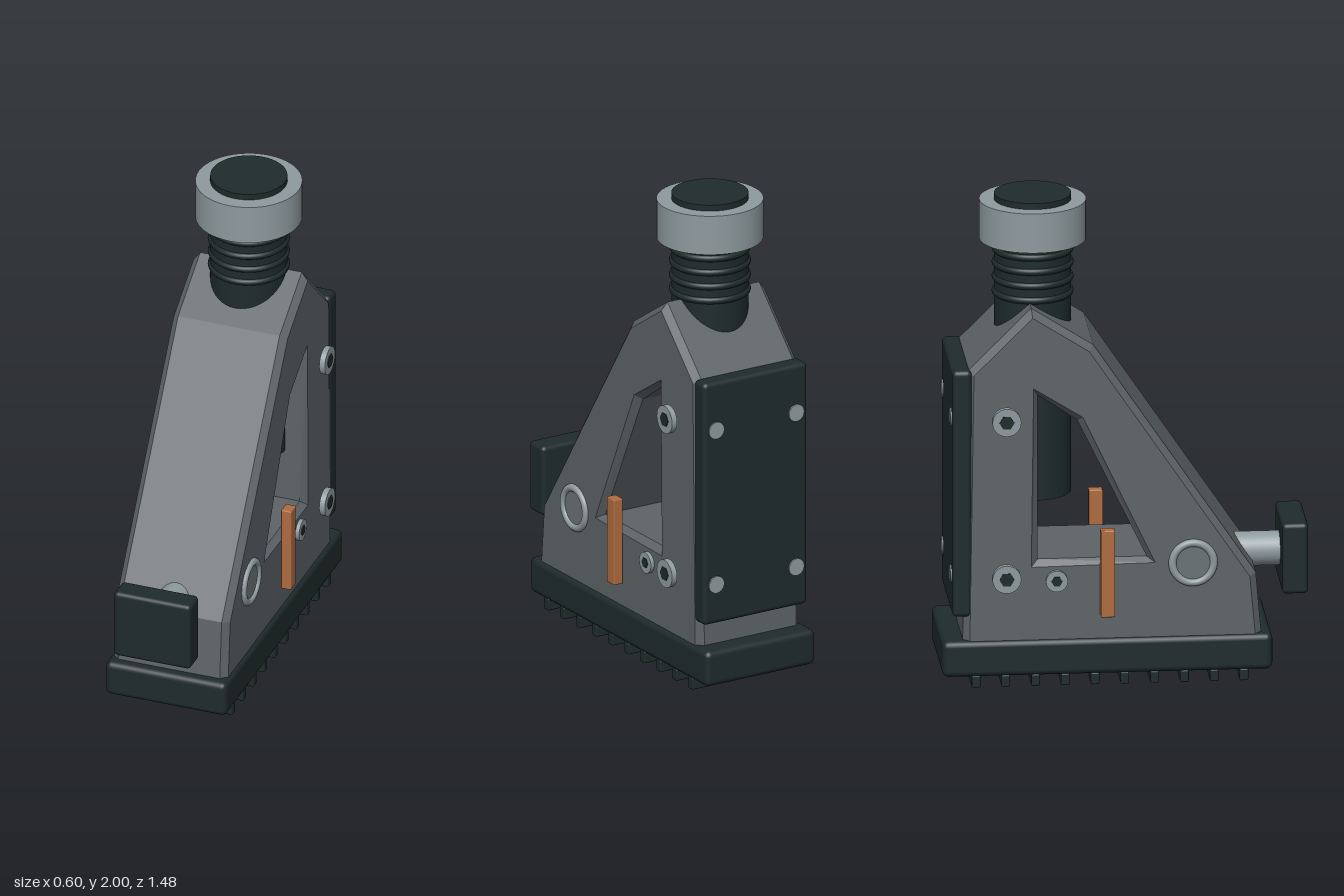
import * as THREE from 'three';
import { RoundedBoxGeometry } from 'three/addons/geometries/RoundedBoxGeometry.js';

const mat = (name, color) => {
  const m = new THREE.MeshStandardMaterial({ color });
  m.name = name;
  return m;
};

export function createModel() {
  const grey = mat('frame grey', 0x5e6468);
  const dark = mat('dark rubber', 0x1f2b2b);
  const silver = mat('silver', 0x8f9b9f);
  const steel = mat('mid steel', 0x6b7376);
  const copper = mat('copper', 0xb06c40);

  const model = new THREE.Group();
  const add = (name, geometry, material, x = 0, y = 0, z = 0) => {
    const mesh = new THREE.Mesh(geometry, material);
    mesh.name = name;
    mesh.position.set(x, y, z);
    model.add(mesh);
    return mesh;
  };
  const rounded = (w, h, d, r) => new RoundedBoxGeometry(w, h, d, 3, r);
  const discX = (r, t, n = 32) => new THREE.CylinderGeometry(r, r, t, n).rotateZ(Math.PI / 2);
  const discZ = (r, t, n = 32) => new THREE.CylinderGeometry(r, r, t, n).rotateX(Math.PI / 2);
  const points = list => list.map(([z, y]) => new THREE.Vector2(z, y));

  // Chamfered frame with a window, profile drawn in (z, y)
  const profile = new THREE.Shape(points([
    [0.55, 0.15], [0.525, 0.445], [-0.13, 1.42], [-0.38, 1.58], [-0.64, 1.32], [-0.657, 0.15],
  ]));
  profile.holes.push(new THREE.Path(points([
    [0.085, 0.525], [-0.195, 1.105], [-0.355, 1.215], [-0.355, 0.525],
  ])));
  const bevel = 0.027, width = 0.49;
  const frame = new THREE.ExtrudeGeometry(profile, {
    depth: width - 2 * bevel, bevelEnabled: true, bevelSegments: 1,
    bevelSize: bevel, bevelThickness: bevel, bevelOffset: -bevel,
  });
  frame.translate(0, 0, -width / 2 + bevel).rotateY(-Math.PI / 2);
  add('frame', frame, grey);

  // Foot with tread ribs
  add('foot', rounded(0.52, 0.15, 1.33, 0.025), dark, 0, 0.12, -0.075);
  for (let i = 0; i < 10; i++) {
    add('treadRib', rounded(0.505, 0.05, 0.035, 0.006), dark, 0, 0.025, 0.475 - i * 0.12);
  }

  // Upright barrel with ridges and collar
  const bz = -0.355;
  add('barrel', new THREE.CylinderGeometry(0.155, 0.155, 1.25, 48), dark, 0, 1.375, bz);
  for (let i = 0; i < 4; i++) {
    add('barrelRidge', new THREE.TorusGeometry(0.15, 0.015, 10, 48).rotateX(Math.PI / 2),
      dark, 0, 1.59 + i * 0.06, bz);
  }
  add('collar', new THREE.CylinderGeometry(0.215, 0.215, 0.165, 48), silver, 0, 1.8925, bz);

  // Front push knob
  add('knobShaft', discZ(0.07, 0.3), silver, 0, 0.477, 0.5);
  add('knob', rounded(0.33, 0.295, 0.105, 0.018), dark, 0, 0.477, 0.69);

  // Back plate and its screws
  add('backPlate', rounded(0.494, 1.035, 0.08, 0.02), dark, 0, 0.8125, -0.66);
  for (const x of [-0.19, 0.19]) {
    for (const y of [0.465, 1.125]) add('plateScrew', discZ(0.036, 0.02, 24), silver, x, y, -0.696);
  }

  // Hardware mirrored on both sides
  for (const s of [-1, 1]) {
    for (const y of [0.465, 1.125]) {
      add('sideBolt', discX(0.058, 0.024), silver, s * 0.287, y, -0.485);
      add('boltSocket', discX(0.03, 0.008, 6), dark, s * 0.298, y, -0.485);
    }
    add('smallBolt', discX(0.044, 0.03), silver, s * 0.246, 0.44, -0.28);
    add('smallBoltSocket', discX(0.022, 0.008, 6), dark, s * 0.26, 0.44, -0.28);
    add('pivotRing', new THREE.TorusGeometry(0.083, 0.016, 12, 48).rotateY(Math.PI / 2),
      silver, s * 0.245, 0.5, 0.27);
    add('pivotDisc', discX(0.075, 0.01), steel, s * 0.244, 0.5, 0.27);
    add('sideBar', rounded(0.044, 0.365, 0.057, 0.005), copper, s * 0.276, 0.477, -0.077);
  }
  return model;
}
